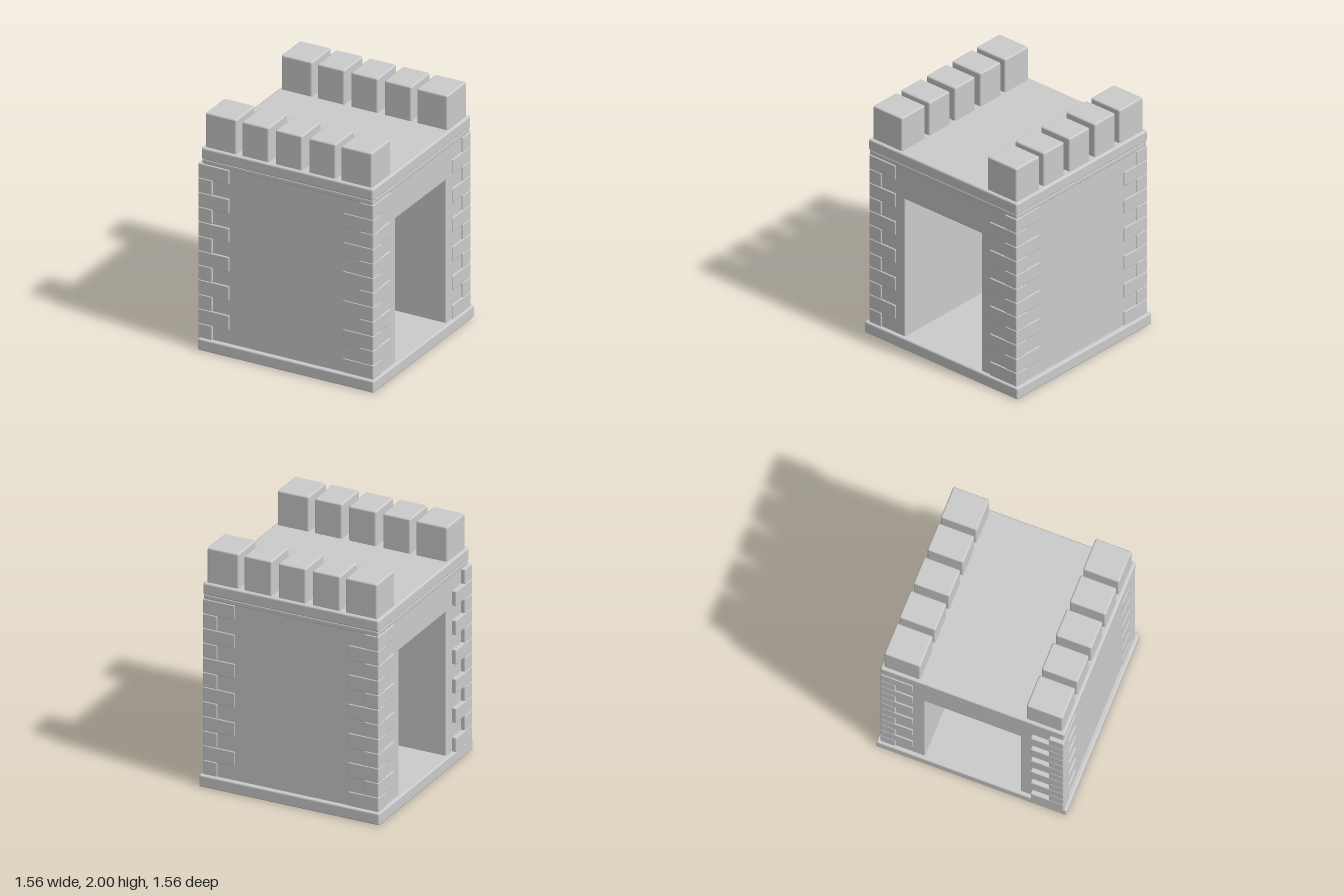
import * as THREE from 'three';
import { RoundedBoxGeometry } from 'three/addons/geometries/RoundedBoxGeometry.js';

const material = new THREE.MeshStandardMaterial({ color: 0xcccccc });

// Rounded block between two corners
function block(name, [x0, y0, z0], [x1, y1, z1], radius) {
  const geometry = new RoundedBoxGeometry(x1 - x0, y1 - y0, z1 - z0, 2, radius);
  const mesh = new THREE.Mesh(geometry, material);
  mesh.position.set((x0 + x1) / 2, (y0 + y1) / 2, (z0 + z1) / 2);
  mesh.name = name;
  return mesh;
}

// Solid gatehouse body with a rectangular passage running along x
function passageWalls() {
  const half = 0.745, door = 0.39, bottom = 0.08, lintel = 1.31, top = 1.59, bevel = 0.01;
  const shape = new THREE.Shape([
    [-half, bottom], [-door, bottom], [-door, lintel], [door, lintel],
    [door, bottom], [half, bottom], [half, top], [-half, top],
  ].map(([x, y]) => new THREE.Vector2(x, y)));
  const depth = 2 * (half - bevel);
  const geometry = new THREE.ExtrudeGeometry(shape, {
    depth, bevelEnabled: true, bevelThickness: bevel, bevelSize: bevel,
    bevelOffset: -bevel, bevelSegments: 2,
  });
  geometry.translate(0, 0, -depth / 2).rotateY(Math.PI / 2);
  const mesh = new THREE.Mesh(geometry, material);
  mesh.name = 'passageWalls';
  return mesh;
}

// Corner stones: alternate rows run long in x, then long in z
function cornerStones(name, sx, sz, outerX, outerZ, long, short) {
  const group = new THREE.Group();
  group.name = name;
  const rows = 12, y0 = 0.095, step = (1.573 - y0) / rows;
  for (let i = 0; i < rows; i++) {
    const longInX = (i % 2 === 1) === (sx * sz < 0);
    const xs = [sx * outerX, sx * (outerX - (longInX ? long : short))].sort((a, b) => a - b);
    const zs = [sz * outerZ, sz * (outerZ - (longInX ? short : long))].sort((a, b) => a - b);
    group.add(block('cornerStone', [xs[0], y0 + i * step, zs[0]],
      [xs[1], y0 + (i + 1) * step, zs[1]], 0.008));
  }
  return group;
}

export function createModel() {
  const model = new THREE.Group();
  model.name = 'castleGatehouse';

  // Plinth, body and stepped cornice
  model.add(block('basePlinth', [-0.775, 0, -0.78], [0.775, 0.1, 0.78], 0.014));
  model.add(passageWalls());
  model.add(block('corniceBand', [-0.75, 1.572, -0.75], [0.75, 1.615, 0.75], 0.012));
  model.add(block('roofSlab', [-0.755, 1.61, -0.755], [0.755, 1.71, 0.755], 0.016));

  // Corner stones; the front one on -x stands out the most
  model.add(cornerStones('frontCornerA', 1, 1, 0.755, 0.75, 0.27, 0.125));
  model.add(cornerStones('backCornerA', 1, -1, 0.755, 0.752, 0.275, 0.122));
  model.add(cornerStones('frontCornerB', -1, 1, 0.78, 0.757, 0.27, 0.122));
  model.add(cornerStones('backCornerB', -1, -1, 0.755, 0.752, 0.265, 0.123));

  // Battlements along the front and back edges
  const spans = [[-0.73, -0.46], [-0.412, -0.176], [-0.117, 0.117], [0.176, 0.412], [0.46, 0.73]];
  for (const [side, z0, z1] of [['front', 0.435, 0.73], ['back', -0.73, -0.435]]) {
    const row = new THREE.Group();
    row.name = side + 'Battlements';
    for (const [x0, x1] of spans) row.add(block('merlon', [x0, 1.7, z0], [x1, 2, z1], 0.014));
    model.add(row);
  }
  return model;
}
